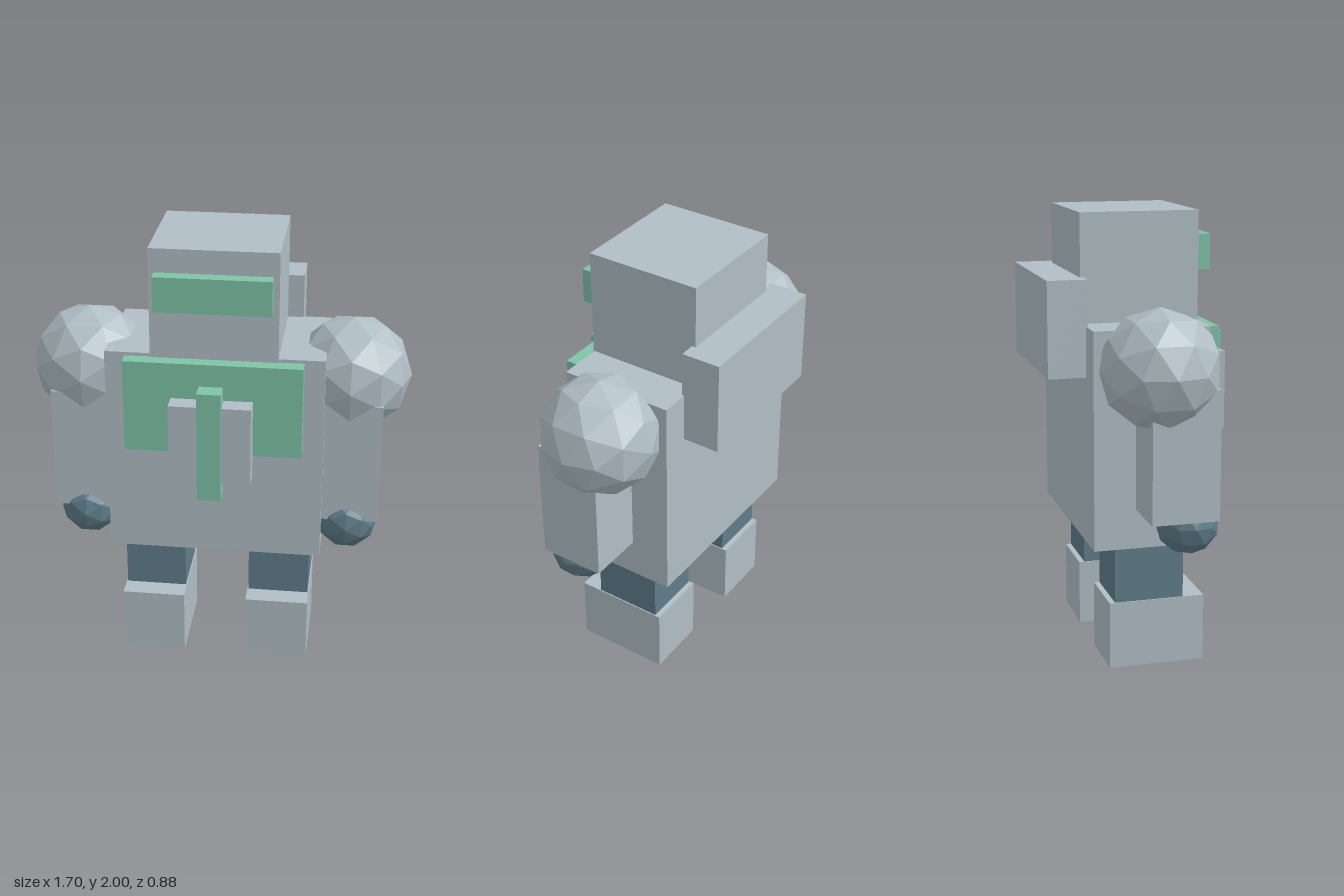
import * as THREE from 'three';

export function createModel() {
  const armor = new THREE.MeshStandardMaterial({ color: 0xb0bec5 });
  armor.name = 'armorGrey';
  const joint = new THREE.MeshStandardMaterial({ color: 0x607d8b });
  joint.name = 'jointSlate';
  const accent = new THREE.MeshStandardMaterial({ color: 0x7fc4a8 });
  accent.name = 'accentGreen';
  for (const m of [armor, joint, accent]) m.flatShading = true;

  const model = new THREE.Group();
  model.name = 'robot';

  // Box given by its extents on each axis
  function box(name, mat, [x0, x1], [y0, y1], [z0, z1]) {
    const mesh = new THREE.Mesh(new THREE.BoxGeometry(x1 - x0, y1 - y0, z1 - z0), mat);
    mesh.position.set((x0 + x1) / 2, (y0 + y1) / 2, (z0 + z1) / 2);
    mesh.name = name;
    model.add(mesh);
  }

  // Faceted ball
  function ball(name, mat, radius, x, y, z) {
    const mesh = new THREE.Mesh(new THREE.IcosahedronGeometry(radius, 1), mat);
    mesh.position.set(x, y, z);
    mesh.name = name;
    model.add(mesh);
  }

  // Body, head and backpack
  box('torso', armor, [-0.48, 0.48], [0.565, 1.525], [-0.27, 0.245]);
  box('head', armor, [-0.278, 0.278], [1.5, 2], [-0.277, 0.25]);
  box('backpack', armor, [-0.35, 0.35], [1.305, 1.725], [-0.437, -0.26]);

  // Visor and chest
  box('visor', accent, [-0.253, 0.253], [1.74, 1.895], [0.24, 0.311]);
  box('chestPlate', accent, [-0.39, 0.39], [1.09, 1.51], [0.235, 0.311]);
  box('chestBlock', armor, [-0.178, 0.178], [1.0, 1.357], [0.33, 0.415]);
  box('chestBar', accent, [-0.052, 0.052], [0.925, 1.43], [0.357, 0.438]);

  // Limbs, mirrored
  for (const s of [1, -1]) {
    const side = s > 0 ? 'left' : 'right';
    const span = (a, b) => (s > 0 ? [a, b] : [-b, -a]);
    ball(side + 'Shoulder', armor, 0.262, s * 0.59, 1.373, -0.012);
    box(side + 'Arm', armor, span(0.445, 0.735), [0.74, 1.305], [-0.085, 0.21]);
    ball(side + 'Hand', joint, 0.14, s * 0.593, 0.705, 0.11);
    box(side + 'Leg', joint, span(0.149, 0.427), [0.28, 0.58], [-0.165, 0.147]);
    box(side + 'Foot', armor, span(0.144, 0.432), [0, 0.303], [-0.19, 0.243]);
  }
  return model;
}
